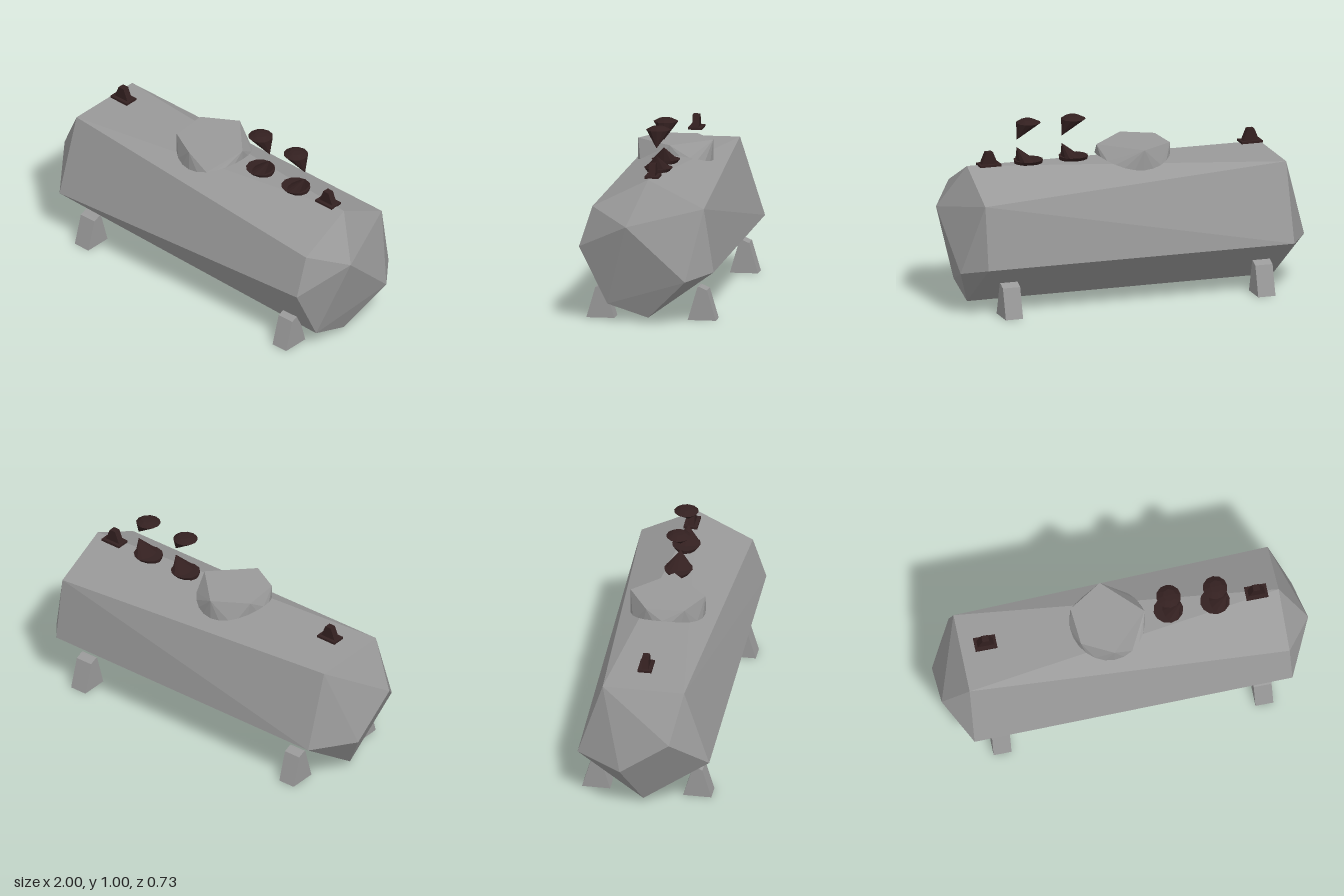
import * as THREE from 'three';
import { ConvexGeometry } from 'three/addons/geometries/ConvexGeometry.js';

const steel = new THREE.MeshStandardMaterial({ color: 0x999999, flatShading: true, side: THREE.DoubleSide });
steel.name = 'grey steel';
const iron = new THREE.MeshStandardMaterial({ color: 0x332020, flatShading: true, side: THREE.DoubleSide });
iron.name = 'dark brown iron';

const V = (x, y, z) => new THREE.Vector3(x, y, z);

function part(parent, name, geometry, material) {
  const mesh = new THREE.Mesh(geometry, material);
  mesh.name = name;
  parent.add(mesh);
  return mesh;
}

const hull = (points) => new ConvexGeometry(points);

// Horizontal ellipse of points
function ring(x, y, z, rx, rz, n = 12) {
  return Array.from({ length: n }, (_, i) => {
    const a = (i / n) * Math.PI * 2;
    return V(x + rx * Math.cos(a), y, z + rz * Math.sin(a));
  });
}

// Faceted tank: two [y, z] end rings and the cap points beyond them
function tankGeometry() {
  const right = [[0.77, -0.01], [0.62, 0.29], [0.4, 0.363], [0.095, 0.21], [0.025, -0.01], [0.28, -0.363], [0.62, -0.31]];
  const left = [[0.7, 0.21], [0.28, 0.345], [0.025, -0.01], [0.28, -0.365], [0.7, -0.23]];
  return hull([
    ...right.map(([y, z]) => V(0.86, y, z)),
    ...left.map(([y, z]) => V(-0.86, y, z)),
    V(1, 0.535, 0.09), V(0.97, 0.24, -0.225),
    V(-1, 0.45, 0.15), V(-1, 0.26, -0.115),
  ]);
}

// Manway: five-sided lid, walls down to a round rim that arches over the tank
function manwayGeometry() {
  const cx = -0.07, cz = -0.01, r = 0.202, n = 24;
  const angles = [0, 90, 145, 206, 270].map((d) => (d * Math.PI) / 180);
  const lid = angles.map((a) => V(cx + r * Math.cos(a), 0.825, cz + r * Math.sin(a)));
  const rim = ring(cx, 0, cz, r, r, n);
  rim.forEach((p) => { p.y = 0.77 - 0.055 * ((p.z - cz) / r) ** 2; });
  const nearest = (p) => lid.reduce((best, q, i) =>
    Math.hypot(q.x - p.x, q.z - p.z) < Math.hypot(lid[best].x - p.x, lid[best].z - p.z) ? i : best, 0);
  const pos = [];
  const tri = (a, b, c) => [a, b, c].forEach((p) => pos.push(p.x, p.y, p.z));
  for (let i = 1; i < 4; i++) tri(lid[0], lid[i + 1], lid[i]);
  for (let i = 0; i < n; i++) {
    const a = rim[i], b = rim[(i + 1) % n];
    const ta = lid[nearest(a)], tb = lid[nearest(b)];
    tri(a, ta, b);
    if (ta !== tb) tri(b, ta, tb);
  }
  const g = new THREE.BufferGeometry();
  g.setAttribute('position', new THREE.Float32BufferAttribute(pos, 3));
  g.computeVertexNormals();
  return g;
}

// Valve: flanged base rising to an off-centre tip, with a domed cap above
function addValve(group, x) {
  const valve = new THREE.Group();
  valve.name = 'valve';
  valve.position.set(x, 0, -0.01);
  part(valve, 'valveFlange', hull([...ring(0, 0.777, 0, 0.08, 0.077), ...ring(0, 0.757, 0, 0.078, 0.06)]), iron);
  part(valve, 'valveStem', hull([...ring(0.016, 0.775, 0, 0.05, 0.073), V(0.066, 0.85, 0)]), iron);
  part(valve, 'valveCap', hull([
    ...ring(0, 0.98, 0, 0.066, 0.066), ...ring(0.005, 0.997, 0, 0.035, 0.035, 8),
    V(0, 1, 0), V(0.066, 0.89, 0),
  ]), iron);
  group.add(valve);
}

// Lifting lug: flat foot plate with a tapering upright tab
function addLug(group, x) {
  const lug = new THREE.Group();
  lug.name = 'liftingLug';
  lug.position.set(x, 0, -0.017);
  part(lug, 'lugPlate', new THREE.BoxGeometry(0.118, 0.012, 0.075), iron).position.y = 0.77;
  const tab = new THREE.Shape([[-0.045, 0.775], [0.045, 0.775], [0.018, 0.84], [-0.018, 0.84]]
    .map(([a, b]) => new THREE.Vector2(a, b)));
  const g = new THREE.ExtrudeGeometry(tab, { depth: 0.036, bevelEnabled: false });
  part(lug, 'lugTab', g.translate(0, 0, -0.018), iron);
  group.add(lug);
}

// Foot: bent strip frame, open along x
function footGeometry() {
  const pts = (list) => list.map(([a, b]) => new THREE.Vector2(a, b));
  const shape = new THREE.Shape(pts([[-0.076, 0], [0.076, 0], [0.028, 0.163], [-0.019, 0.181]]));
  shape.setFromPoints(pts([[-0.075, 0.003], [-0.068, 0], [0.068, 0], [0.075, 0.003], [0.028, 0.162], [-0.012, 0.18], [-0.024, 0.178]]));
  shape.holes.push(new THREE.Path(pts([[-0.067, 0.009], [-0.019, 0.17], [-0.011, 0.173], [0.022, 0.158], [0.067, 0.009]])));
  const g = new THREE.ExtrudeGeometry(shape, { depth: 0.097, bevelEnabled: false });
  return g.translate(0, 0, -0.0485).rotateY(-Math.PI / 2);
}

export function createModel() {
  const model = new THREE.Group();
  model.name = 'storageTank';
  part(model, 'tankBody', tankGeometry(), steel);
  part(model, 'manway', manwayGeometry(), steel);
  for (const x of [0.262, 0.515]) addValve(model, x);
  for (const x of [-0.73, 0.74]) addLug(model, x);

  // Four feet, sloping tops facing outward
  const foot = footGeometry();
  for (const x of [-0.707, 0.713]) {
    for (const side of [1, -1]) {
      const mesh = part(model, 'foot', foot, steel);
      mesh.position.set(x, 0, side > 0 ? 0.263 : -0.283);
      if (side < 0) mesh.rotation.y = Math.PI;
    }
  }
  return model;
}
